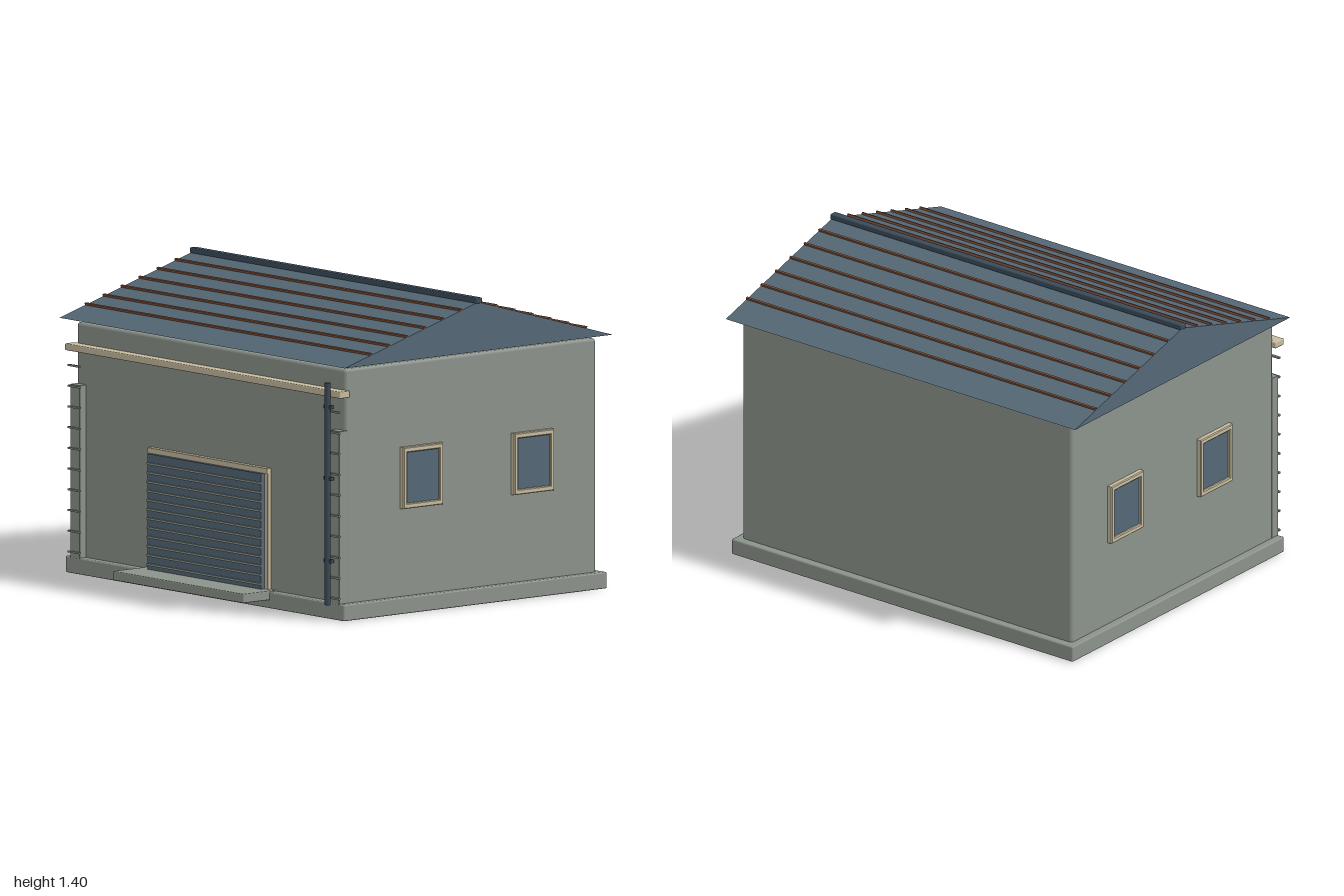
import * as THREE from 'three';
import { RoundedBoxGeometry } from 'three/addons/geometries/RoundedBoxGeometry.js';

const mat = (name, color) => {
  const m = new THREE.MeshStandardMaterial({ color });
  m.name = name;
  return m;
};

export function createModel() {
  const root = new THREE.Group();
  root.name = 'warehouse';
  const concrete = mat('concrete grey', 0x8c938b);
  const slate = mat('slate blue', 0x546775);
  const darkMetal = mat('dark blue metal', 0x3a4a59);
  const rust = mat('rust brown', 0x7d4f38);
  const trim = mat('cream trim', 0xc6bb9e);

  const add = (name, geo, material, parent = root) => {
    const mesh = new THREE.Mesh(geo, material);
    mesh.name = name;
    parent.add(mesh);
    return mesh;
  };
  // Box from min/max extents, with an optional softened edge
  const box = (name, [x0, x1], [y0, y1], [z0, z1], material, bevel = 0, parent = root) => {
    const size = [x1 - x0, y1 - y0, z1 - z0];
    const geo = bevel ? new RoundedBoxGeometry(...size, 1, bevel) : new THREE.BoxGeometry(...size);
    const mesh = add(name, geo, material, parent);
    mesh.position.set((x0 + x1) / 2, (y0 + y1) / 2, (z0 + z1) / 2);
    return mesh;
  };
  const group = (name) => {
    const g = new THREE.Group();
    g.name = name;
    root.add(g);
    return g;
  };

  // Body
  box('foundation', [-0.972, 0.972], [0, 0.075], [-0.845, 0.703], concrete, 0.007);
  box('walls', [-0.938, 0.938], [0.06, 1.138], [-0.808, 0.665], concrete, 0.014);
  box('doorStep', [-0.455, 0.455], [0.038, 0.08], [0.64, 0.858], concrete, 0.005);
  box('frontBeam', [-0.96, 0.96], [1.012, 1.043], [0.655, 0.716], trim, 0.005);

  // Gable roof
  const midZ = -0.07, half = 0.787, eave = 1.155, peak = 1.38;
  const gable = new THREE.Shape([
    new THREE.Vector2(-half, eave), new THREE.Vector2(half, eave), new THREE.Vector2(0, peak),
  ]);
  const roofGeo = new THREE.ExtrudeGeometry(gable, { depth: 1.99, bevelEnabled: false });
  roofGeo.translate(0, 0, -0.995).rotateY(Math.PI / 2);
  add('roof', roofGeo, slate).position.z = midZ;
  box('ridgeCap', [-1, 1], [1.374, 1.4], [midZ - 0.018, midZ + 0.018], darkMetal, 0.005);

  // Seams along both roof slopes
  const seams = group('roofSeams');
  const pitch = Math.atan2(peak - eave, half);
  for (const side of [-1, 1]) {
    for (let i = 1; i <= 6; i++) {
      const d = i * 0.1055;
      const seam = add('roofSeam', new THREE.BoxGeometry(1.99, 0.012, 0.01), rust, seams);
      seam.position.set(0, peak - d * Math.tan(pitch) + 0.004, midZ + side * d);
      seam.rotation.x = side * pitch;
    }
  }

  // Roller door with frame and slats
  const door = group('rollerDoor');
  box('doorPanel', [-0.396, 0.396], [0.078, 0.605], [0.66, 0.704], slate, 0, door);
  for (const s of [-1, 1]) {
    const x = s * 0.406;
    box('doorJamb', [x - 0.012, x + 0.012], [0.078, 0.61], [0.655, 0.684], trim, 0.003, door);
  }
  box('doorLintel', [-0.418, 0.418], [0.604, 0.63], [0.655, 0.688], trim, 0.003, door);
  for (let i = 0; i < 12; i++) {
    const y = 0.103 + i * 0.0417;
    box('doorSlat', [-0.396, 0.396], [y - 0.005, y + 0.005], [0.7, 0.711], concrete, 0, door);
  }

  // Ribbed corner pilasters
  for (const s of [-1, 1]) {
    const corner = group(s > 0 ? 'leftPilaster' : 'rightPilaster');
    const x = s * 0.905;
    box('pilaster', [x - 0.034, x + 0.034], [0.07, 0.86], [0.655, 0.702], concrete, 0.003, corner);
    for (let i = 0; i < 10; i++) {
      const y = 0.098 + i * 0.0942;
      box('pilasterRib', [x - 0.04, x + 0.04], [y - 0.004, y + 0.004], [0.699, 0.711], concrete, 0, corner);
    }
  }

  // Side windows: a bevelled ring of trim around a recessed pane
  const ring = new THREE.Shape();
  const rect = (path, w, h) => path.moveTo(-w, -h).lineTo(w, -h).lineTo(w, h).lineTo(-w, h).closePath();
  rect(ring, 0.114, 0.136);
  const hole = new THREE.Path();
  rect(hole, 0.1, 0.12);
  ring.holes.push(hole);
  const frameGeo = new THREE.ExtrudeGeometry(ring, {
    depth: 0.02, bevelThickness: 0.004, bevelSize: 0.004, bevelSegments: 1,
  });
  for (const s of [-1, 1]) {
    for (const z of [0.225, -0.427]) {
      const win = group('window');
      win.position.set(s * 0.938, 0.614, z);
      win.rotation.y = s * Math.PI / 2;
      add('windowFrame', frameGeo, trim, win);
      add('windowPane', new THREE.BoxGeometry(0.2, 0.24, 0.008), slate, win).position.z = 0.008;
    }
  }

  // Downpipe with clamps
  const downpipe = group('downpipe');
  const pipe = add('pipe', new THREE.CylinderGeometry(0.014, 0.014, 1.01, 12), darkMetal, downpipe);
  pipe.position.set(0.896, 0.575, 0.734);
  for (const y of [0.27, 0.645, 0.97]) {
    box('pipeClamp', [0.87, 0.922], [y - 0.008, y + 0.008], [0.718, 0.738], darkMetal, 0, downpipe);
  }
  return root;
}
